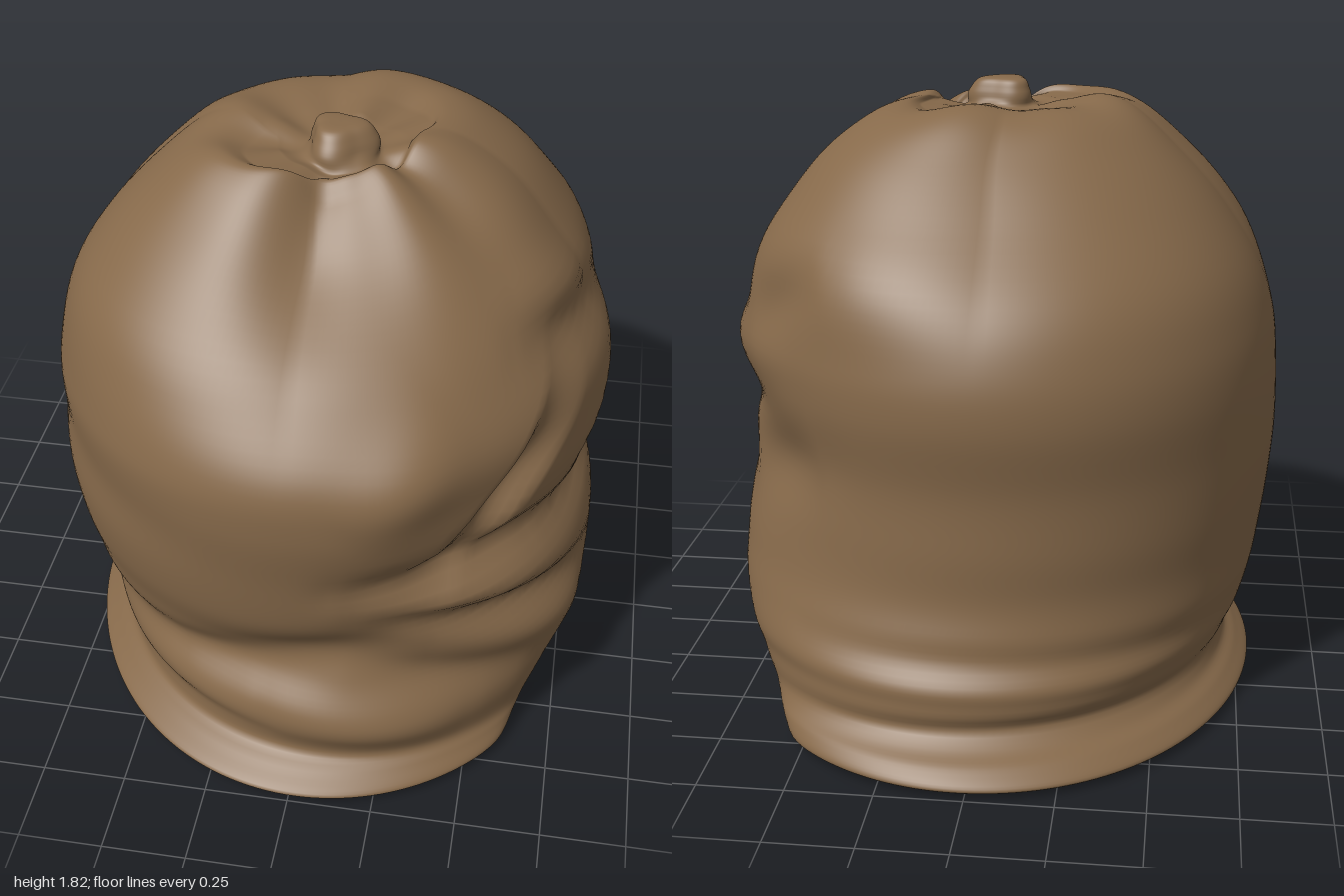
import * as THREE from 'three';

const cloth = new THREE.MeshStandardMaterial({ color: 0x86694a });
cloth.name = 'brown cloth';

const SIDES = 180, STEPS = 6;
const { smoothstep, clamp, degToRad } = THREE.MathUtils;

// Cross-sections from floor to knot: y, left edge, right edge, back, front, flat-side limit
const rings = [
  [0.01, -0.77, 0.82, -0.97, 0.97, 0.58],
  [0.03, -0.79, 0.84, -1.00, 1.00, 0.60],
  [0.07, -0.75, 0.84, -0.96, 0.94, 0.63],
  [0.11, -0.71, 0.84, -0.90, 0.89, 0.66],
  [0.20, -0.73, 0.84, -0.88, 0.90, 0.72],
  [0.27, -0.76, 0.85, -0.88, 0.89, 0.77],
  [0.37, -0.79, 0.85, -0.83, 0.86, 0.82],
  [0.48, -0.81, 0.83, -0.80, 0.86, 0.84],
  [0.62, -0.83, 0.80, -0.80, 0.90, 0.88],
  [0.80, -0.845, 0.79, -0.80, 0.93, 0.95],
  [1.00, -0.84, 0.80, -0.83, 0.96, 0.95],
  [1.16, -0.82, 0.80, -0.81, 0.94, 0.95],
  [1.32, -0.76, 0.73, -0.73, 0.81, 0.95],
  [1.50, -0.64, 0.61, -0.56, 0.62, 0.95],
  [1.64, -0.51, 0.49, -0.42, 0.46, 0.95],
  [1.74, -0.39, 0.35, -0.30, 0.35, 0.95],
  [1.77, -0.29, 0.25, -0.20, 0.30, 0.95],
  [1.745, -0.18, 0.20, -0.05, 0.27, 0.95],
  [1.735, -0.09, 0.13, 0.04, 0.25, 0.95],
  [1.78, -0.07, 0.11, 0.06, 0.22, 0.95],
  [1.815, -0.05, 0.08, 0.08, 0.19, 0.95],
  [1.82, 0.015, 0.016, 0.14, 0.141, 0.95],
];

// Creases (negative) and ridges (positive): angle, y, angle, y, width, depth.
// Angle 0 is the +x side, 90 the front, -90 the back.
const folds = [
  [78, 0.77, 22, 0.77, 0.07, -0.07],
  [30, 0.75, -12, 0.69, 0.06, -0.06],
  [46, 1.05, 38, 0.92, 0.25, -0.08],
  [76, 1.00, 56, 1.30, 0.13, 0.03],
  [35, 0.93, -10, 1.02, 0.10, 0.02],
  [74, 0.66, 14, 0.43, 0.06, -0.04],
  [78, 0.72, 10, 0.56, 0.07, 0.035],
  [62, 0.50, 18, 0.34, 0.09, 0.04],
  [80, 0.44, 40, 0.28, 0.07, -0.025],
  [165, 0.29, 90, 0.38, 0.07, -0.04],
  [120, 0.34, 66, 0.56, 0.09, -0.04],
  [160, 0.16, 100, 0.17, 0.03, -0.012],
  [100, 0.26, 55, 0.20, 0.09, 0.03],
  [175, 0.93, 105, 0.90, 0.12, -0.02],
  [36, 1.36, -18, 1.20, 0.07, -0.045],
  [34, 1.46, -4, 1.36, 0.07, 0.02],
  [20, 0.86, -36, 0.95, 0.08, -0.035],
  [6, 1.02, -48, 1.13, 0.10, 0.02],
  [-22, 0.70, -54, 0.82, 0.12, -0.045],
  [-30, 1.18, -54, 1.36, 0.10, -0.03],
  [-55, 0.32, -160, 0.30, 0.05, -0.025],
  [-40, 0.13, -175, 0.15, 0.03, -0.025],
];

// Smooth blend through the cross-sections
function ringAt(i, t) {
  const pick = k => rings[clamp(k, 0, rings.length - 1)];
  const [a, b, c, d] = [pick(i - 1), pick(i), pick(i + 1), pick(i + 2)];
  return b.map((v, k) => {
    const m0 = (c[k] - a[k]) / 2, m1 = (d[k] - v) / 2, t2 = t * t, t3 = t2 * t;
    return (2 * t3 - 3 * t2 + 1) * v + (t3 - 2 * t2 + t) * m0
      + (3 * t2 - 2 * t3) * c[k] + (t3 - t2) * m1;
  });
}

const wrap = a => Math.atan2(Math.sin(a), Math.cos(a));
const SCALE = 0.85; // radius used to measure fold distances round the sack

// Folds fade out towards both ends
function foldOffset(angle, y) {
  let sum = 0;
  for (const [a0, y0, a1, y1, width, depth] of folds) {
    const half = degToRad((a1 - a0) / 2) * SCALE;
    const px = wrap(angle - degToRad((a0 + a1) / 2)) * SCALE + half, py = y - y0;
    const dx = half * 2, dy = y1 - y0;
    const t = clamp((px * dx + py * dy) / (dx * dx + dy * dy), 0, 1);
    const d = Math.hypot(px - dx * t, py - dy * t) / width;
    sum += depth * (0.2 + 0.8 * Math.sin(Math.PI * t)) * Math.exp(-d * d);
  }
  return sum * smoothstep(y, 0.04, 0.14) * (1 - smoothstep(y, 1.5, 1.7));
}

// Rounded-off minimum
const softMin = (a, b, k) => (a + b - Math.sqrt((a - b) ** 2 + k * k)) / 2;

function clothPoint([y, left, right, back, front, limit], angle, isTop) {
  const cos = Math.cos(angle), sin = Math.sin(angle);
  let x = (left + right) / 2 + (right - left) / 2 * cos;
  let z = (back + front) / 2 + (front - back) / 2 * sin;
  // Flattened, slightly twisted +x side near the floor
  if (y < 0.85) x = softMin(x, limit + 0.05 * z, 0.05 * (1 - smoothstep(y, 0.4, 0.8)));
  // Full shoulders on the front left and back right diagonals
  const shoulder = isTop ? 0 : 0.085 * Math.max(0, -Math.sin(2 * angle)) * smoothstep(y, 1.12, 1.45);
  const push = foldOffset(angle, y) + shoulder;
  x += cos * push;
  z += sin * push;
  // Gathers running out from the knot
  const kx = x - 0.02, kz = z - 0.14, r = Math.hypot(kx, kz), a = Math.atan2(kz, kx);
  const gather = smoothstep(r, 0.08, 0.2) * (1 - smoothstep(r, 0.3, 0.65));
  const pleats = 0.01 * Math.cos(5 * a + 1) + 0.006 * Math.cos(9 * a);
  const frontDip = 0.07 * Math.exp(-(((a - 1.45) / 0.6) ** 2));
  const sideDip = 0.035 * Math.exp(-(((a - 0.3) / 0.3) ** 2));
  // Lumpy knot
  const lump = isTop ? 1 + 0.14 * Math.cos(3 * angle + 0.6) * smoothstep(y, 1.73, 1.76) : 1;
  return [0.02 + kx * lump, y + gather * (pleats - frontDip - sideDip), 0.14 + kz * lump];
}

function makeMesh(name, positions, indices) {
  const geometry = new THREE.BufferGeometry();
  geometry.setAttribute('position', new THREE.Float32BufferAttribute(positions, 3));
  geometry.setIndex(indices);
  geometry.computeVertexNormals();
  const mesh = new THREE.Mesh(geometry, cloth);
  mesh.name = name;
  return mesh;
}

export function createModel() {
  const group = new THREE.Group();
  group.name = 'sack';

  // Body, gathered top and knot as one sheet of cloth
  const positions = [], indices = [];
  const rows = (rings.length - 1) * STEPS + 1;
  const knotStart = (rings.length - 5) * STEPS;
  for (let r = 0; r < rows; r++) {
    const i = Math.min(Math.floor(r / STEPS), rings.length - 2);
    const ring = ringAt(i, r / STEPS - i);
    for (let j = 0; j < SIDES; j++) {
      positions.push(...clothPoint(ring, j / SIDES * Math.PI * 2, r >= knotStart));
    }
  }
  for (let r = 0; r < rows - 1; r++) {
    for (let j = 0; j < SIDES; j++) {
      const a = r * SIDES + j, b = r * SIDES + (j + 1) % SIDES;
      indices.push(a, a + SIDES, b, b, a + SIDES, b + SIDES);
    }
  }
  group.add(makeMesh('sackCloth', positions, indices));

  // Flat underside
  const base = [0, 0, 0, ...positions.slice(0, SIDES * 3)], fan = [];
  for (let j = 0; j < SIDES; j++) fan.push(0, j + 1, (j + 1) % SIDES + 1);
  group.add(makeMesh('underside', base, fan));

  return group;
}
